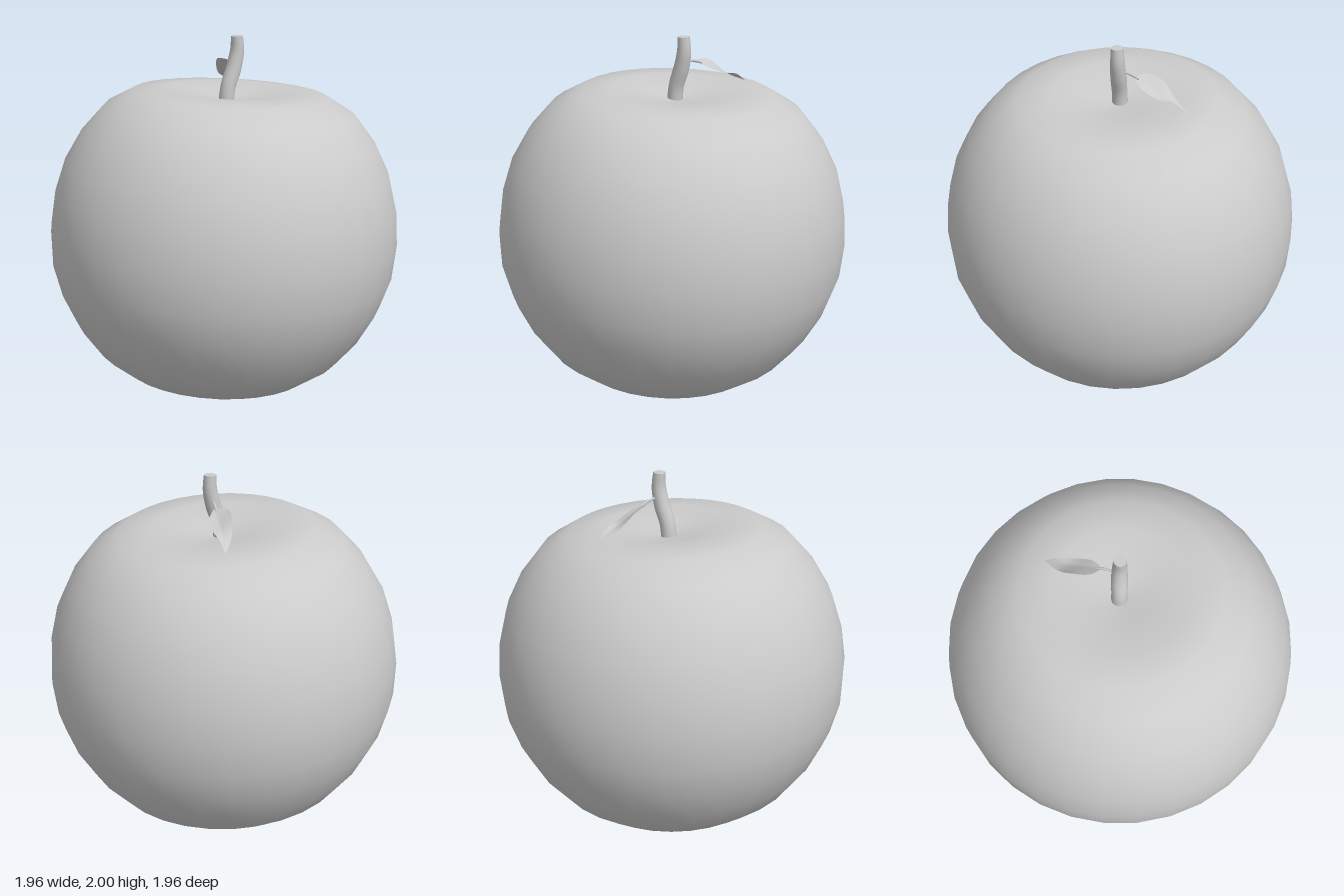
import * as THREE from 'three';
import { ParametricGeometry } from 'three/addons/geometries/ParametricGeometry.js';

const grey = () => new THREE.MeshStandardMaterial({ color: 0xcccccc });
const curve = pts => new THREE.CatmullRomCurve3(pts.map(p => new THREE.Vector3(...p)));

function part(name, geometry, material = grey()) {
  const mesh = new THREE.Mesh(geometry, material);
  mesh.name = name;
  return mesh;
}

// Round tube whose radius eases through the given values, closed at both ends
function taperedStem(path, radii, rows, sides) {
  const geo = new THREE.TubeGeometry(path, rows, 1, sides);
  const pos = geo.attributes.position;
  const c = new THREE.Vector3(), v = new THREE.Vector3();
  for (let i = 0; i < pos.count; i++) {
    const t = Math.floor(i / (sides + 1)) / rows;
    const k = t * (radii.length - 1), a = Math.min(Math.floor(k), radii.length - 2);
    const r = THREE.MathUtils.lerp(radii[a], radii[a + 1], k - a);
    path.getPointAt(t, c);
    v.fromBufferAttribute(pos, i).sub(c).multiplyScalar(r).add(c);
    pos.setXYZ(i, v.x, v.y, v.z);
  }
  return geo;
}

export function createModel() {
  const model = new THREE.Group();
  model.name = 'apple';

  // Fruit body: one turned profile with a shallow dimple, leaning slightly
  const pivot = 0.87;
  const profile = [
    [0, 0.008], [0.18, 0.012], [0.36, 0.035], [0.55, 0.09], [0.7, 0.2], [0.82, 0.35],
    [0.91, 0.52], [0.967, 0.7], [0.982, 0.9], [0.963, 1.09], [0.91, 1.28], [0.82, 1.45],
    [0.695, 1.6], [0.54, 1.69], [0.36, 1.706], [0.18, 1.67], [0, 1.645],
  ].map(([r, y]) => new THREE.Vector2(r, y - pivot));
  const body = part('fruitBody', new THREE.LatheGeometry(profile, 32));
  body.position.y = pivot;
  body.rotation.z = -0.053;
  model.add(body);

  // Curved stem with a flat cut end
  const stemPath = curve([[0.015, 1.62, -0.005], [0.028, 1.72, -0.005], [0.065, 1.83, -0.008],
    [0.084, 1.92, -0.008], [0.082, 2, -0.006]]);
  const stem = new THREE.Group();
  stem.name = 'stem';
  stem.add(part('stemShaft', taperedStem(stemPath, [0.043, 0.042, 0.044, 0.04, 0.033], 16, 16)));
  const cut = part('stemCut', new THREE.CircleGeometry(0.033, 16));
  cut.position.set(0.082, 2, -0.006);
  cut.rotation.x = -Math.PI / 2;
  stem.add(cut);
  model.add(stem);

  // Thin stalk joining the leaf to the stem
  const stalkPath = curve([[0.078, 1.865, -0.02], [0.085, 1.862, -0.06], [0.095, 1.855, -0.1], [0.1, 1.842, -0.13]]);
  model.add(part('leafStalk', taperedStem(stalkPath, [0.008, 0.006, 0.009, 0.006], 8, 8)));

  // Leaf blade spanned between two edge curves, folded along the midrib
  const leftEdge = curve([[0.097, 1.848, -0.1], [0.055, 1.857, -0.16], [0.06, 1.838, -0.24],
    [0.105, 1.755, -0.33], [0.172, 1.712, -0.41]]);
  const rightEdge = curve([[0.1, 1.845, -0.1], [0.153, 1.815, -0.155], [0.172, 1.78, -0.23],
    [0.176, 1.762, -0.33], [0.173, 1.712, -0.41]]);
  const a = new THREE.Vector3(), b = new THREE.Vector3();
  const blade = new ParametricGeometry((u, v, out) => {
    leftEdge.getPoint(v, a);
    rightEdge.getPoint(v, b);
    out.lerpVectors(a, b, u);
    out.y -= 0.012 * Math.sin(Math.PI * v) * (1 - Math.abs(2 * u - 1));
  }, 6, 16);
  const leafMaterial = grey();
  leafMaterial.side = THREE.DoubleSide;
  model.add(part('leafBlade', blade, leafMaterial));

  return model;
}
